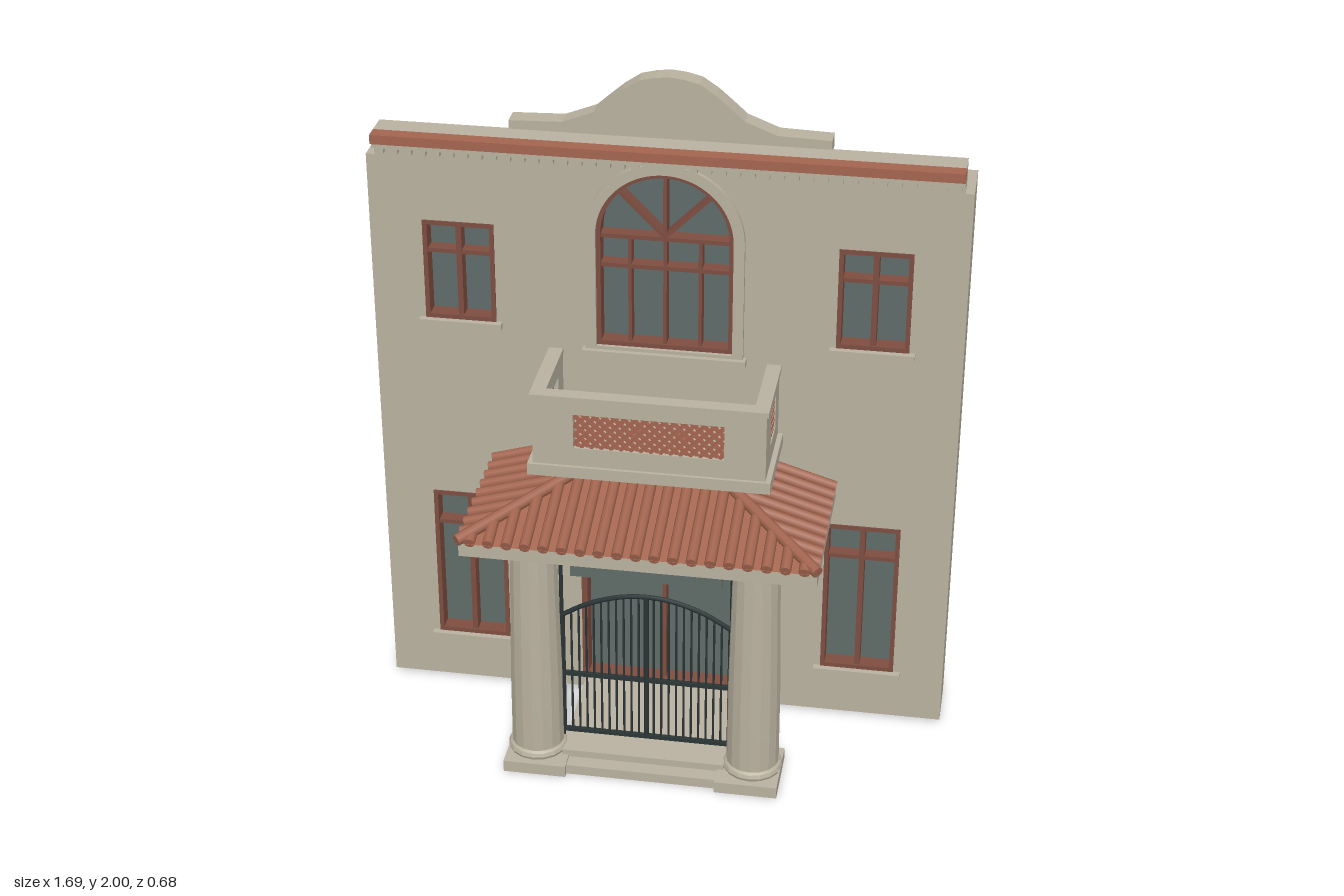
import * as THREE from 'three';
import { toCreasedNormals } from 'three/addons/utils/BufferGeometryUtils.js';

const paint = (name, color, extra = {}) => Object.assign(new THREE.MeshStandardMaterial({ color, ...extra }), { name });

export function createModel() {
  const stucco = paint('stucco', 0xb9b19f);
  const clay = paint('terracotta', 0xa3654f);
  const wood = paint('brown frame', 0x7d4d40);
  const glass = paint('glass', 0x5f6b68);
  const iron = paint('iron', 0x2b3536);

  const model = new THREE.Group();
  model.name = 'villaFacade';

  const group = (name, parent = model) => {
    const g = new THREE.Group();
    g.name = name;
    parent.add(g);
    return g;
  };
  const add = (name, geo, mat, parent = model) => {
    const m = new THREE.Mesh(geo, mat);
    m.name = name;
    parent.add(m);
    return m;
  };
  // Box given by its limits
  const box = (name, mat, x0, x1, y0, y1, z0, z1, parent = model) => {
    const m = add(name, new THREE.BoxGeometry(x1 - x0, y1 - y0, z1 - z0), mat, parent);
    m.position.set((x0 + x1) / 2, (y0 + y1) / 2, (z0 + z1) / 2);
    return m;
  };
  // Round bar between two points
  const rod = (name, mat, a, b, r, parent, sides = 6) => {
    const p = new THREE.Vector3(...a), q = new THREE.Vector3(...b);
    const m = add(name, new THREE.CylinderGeometry(r, r, p.distanceTo(q), sides), mat, parent);
    m.position.copy(p).lerp(q, 0.5);
    m.quaternion.setFromUnitVectors(new THREE.Vector3(0, 1, 0), q.sub(p).normalize());
    return m;
  };
  const poly = (pts, Type = THREE.Shape) => new Type(pts.map(p => new THREE.Vector2(...p)));
  const rect = (x0, x1, y0, y1, Type) => poly([[x0, y0], [x1, y0], [x1, y1], [x0, y1]], Type);
  const arch = (r, y0, yc, Type = THREE.Shape) => {
    const s = new Type();
    s.moveTo(-r, y0);
    s.lineTo(r, y0);
    s.lineTo(r, yc);
    s.absarc(0, yc, r, 0, Math.PI, false);
    s.lineTo(-r, y0);
    return s;
  };
  const extrude = (name, shape, mat, z0, z1, parent = model) => {
    const g = new THREE.ExtrudeGeometry(shape, { depth: z1 - z0, bevelEnabled: false, curveSegments: 20 });
    const m = add(name, g, mat, parent);
    m.position.z = z0;
    return m;
  };

  // Main wall with openings, side returns and curved parapet
  const windows = [];
  for (const s of [-1, 1]) {
    windows.push({ x: s * 0.587, w: 0.11, y0: 0.17, y1: 0.67, bar: 0.56, sill: 0.13 });
    windows.push({ x: s * 0.59, w: 0.103, y0: 1.25, y1: 1.555, bar: 1.46, sill: 0.12 });
  }
  const wall = poly([[-0.845, 0.01], [0.845, 0.01], [0.845, 1.745], [0.82, 1.745],
    [0.82, 1.82], [-0.82, 1.82], [-0.82, 1.745], [-0.845, 1.745]]);
  for (const w of windows) wall.holes.push(rect(w.x - w.w, w.x + w.w, w.y0, w.y1, THREE.Path));
  wall.holes.push(arch(0.195, 1.205, 1.55, THREE.Path), rect(-0.25, 0.25, 0.05, 0.73, THREE.Path));
  extrude('wall', wall, stucco, -0.24, -0.17);
  for (const s of [-1, 1]) {
    box('sideReturn', stucco, Math.min(s * 0.805, s * 0.845), Math.max(s * 0.805, s * 0.845), 0.01, 1.745, -0.335, -0.235);
  }
  const half = [[0.45, 1.845], [0.3, 1.85], [0.21, 1.885], [0.165, 1.925], [0.13, 1.955], [0.085, 1.985], [0.04, 1.996]];
  const mirrored = half.map(([x, y]) => [-x, y]).reverse();
  extrude('parapet', poly([[-0.45, 1.805], [0.45, 1.805], ...half, [0, 2], ...mirrored]), stucco, -0.295, -0.235);

  // Cornice with dentils
  const cornice = group('cornice');
  box('corniceTiles', clay, -0.82, 0.82, 1.793, 1.82, -0.17, -0.127, cornice);
  box('corniceLedge', stucco, -0.82, 0.82, 1.775, 1.793, -0.17, -0.142, cornice);
  for (let x = -0.8; x < 0.81; x += 0.04) box('dentil', stucco, x - 0.011, x + 0.011, 1.757, 1.775, -0.17, -0.15, cornice);

  // Rectangular windows
  for (const w of windows) {
    const g = group('window');
    const l = w.x - w.w, r = w.x + w.w, t = 0.013;
    box('pane', glass, l, r, w.y0, w.y1, -0.222, -0.214, g);
    const ring = rect(l, r, w.y0, w.y1);
    ring.holes.push(rect(l + t, r - t, w.y0 + t, w.y1 - t, THREE.Path));
    extrude('frame', ring, wood, -0.214, -0.166, g);
    box('mullion', wood, w.x - 0.008, w.x + 0.008, w.y0 + t, w.y1 - t, -0.214, -0.172, g);
    box('transom', wood, l + t, r - t, w.bar - 0.006, w.bar + 0.006, -0.214, -0.174, g);
    box('sill', stucco, w.x - w.sill, w.x + w.sill, w.y0 - 0.018, w.y0, -0.17, -0.148, g);
  }

  // Arched window
  const aw = group('archedWindow');
  extrude('pane', arch(0.195, 1.205, 1.55), glass, -0.222, -0.214, aw);
  const ring = arch(0.195, 1.205, 1.55);
  ring.holes.push(arch(0.182, 1.218, 1.55, THREE.Path));
  extrude('frame', ring, wood, -0.214, -0.166, aw);
  const surround = arch(0.226, 1.18, 1.55);
  surround.holes.push(arch(0.195, 1.205, 1.55, THREE.Path));
  extrude('surround', surround, stucco, -0.17, -0.155, aw);
  box('sill', stucco, -0.235, 0.235, 1.175, 1.195, -0.17, -0.14, aw);
  for (const y of [1.455, 1.545]) box('transom', wood, -0.185, 0.185, y - 0.006, y + 0.006, -0.214, -0.172, aw);
  for (const x of [-0.1, 0, 0.1]) box('mullion', wood, x - 0.005, x + 0.005, 1.215, 1.545, -0.214, -0.174, aw);
  for (const a of [0.25, 0.5, 0.75]) {
    const m = add('radialBar', new THREE.BoxGeometry(0.185, 0.011, 0.04), wood, aw);
    m.position.set(Math.cos(a * Math.PI) * 0.093, 1.55 + Math.sin(a * Math.PI) * 0.093, -0.194);
    m.rotation.z = a * Math.PI;
  }

  // Doorway
  const door = group('doorway');
  box('doorGlass', glass, -0.25, 0.25, 0.05, 0.73, -0.222, -0.214, door);
  box('backPanel', glass, -0.263, 0.263, 0.05, 0.73, -0.329, -0.321, door);
  const jamb = rect(-0.25, 0.25, 0.05, 0.73);
  jamb.holes.push(rect(-0.232, 0.232, 0.068, 0.712, THREE.Path));
  extrude('doorFrame', jamb, wood, -0.214, -0.16, door);
  box('doorTransom', wood, -0.232, 0.232, 0.5, 0.512, -0.214, -0.175, door);
  box('doorMullion', wood, -0.006, 0.006, 0.068, 0.712, -0.214, -0.175, door);

  // Porch floor, steps and columns
  const porch = group('porch');
  box('baseSlab', stucco, -0.24, 0.24, 0, 0.03, -0.2, 0.265, porch);
  box('floor', stucco, -0.24, 0.24, 0.03, 0.052, -0.17, 0.22, porch);
  const profile = [[0, 0.035], [0.084, 0.035], [0.088, 0.045], [0.084, 0.056], [0.077, 0.062], [0.076, 0.3],
    [0.068, 0.7], [0.067, 0.728], [0.075, 0.735], [0.077, 0.752], [0.077, 0.762], [0, 0.762]];
  const shaft = toCreasedNormals(new THREE.LatheGeometry(profile.map(p => new THREE.Vector2(...p)), 16), 0.3);
  for (const s of [-1, 1]) {
    box('plinth', stucco, s * 0.312 - 0.092, s * 0.312 + 0.092, 0, 0.036, 0.085, 0.283, porch);
    add('column', shaft, stucco, porch).position.set(s * 0.32, 0, 0.178);
  }
  box('beam', stucco, -0.503, 0.503, 0.76, 0.808, -0.17, 0.318, porch);

  // Hipped porch roof with tile ribs
  const roof = group('porchRoof');
  const e = 0.505, y0 = 0.808, zb = -0.17, zf = 0.33, top = 0.958;
  const L = [-e, y0, zf], R = [e, y0, zf], BR = [e, y0, zb], BL = [-e, y0, zb], A = [0, top, zb];
  const slopes = new THREE.BufferGeometry();
  slopes.setAttribute('position', new THREE.Float32BufferAttribute(
    [L, R, A, R, BR, A, BL, L, A, BL, BR, R, BL, R, L].flat(), 3));
  slopes.computeVertexNormals();
  add('roofSlopes', slopes, clay, roof);
  const rise = (top - y0) / 0.5;
  for (let i = -9; i <= 9; i++) {
    const x = i * 0.052;
    const z = Math.max(zb + Math.abs(x), 0.04);
    rod('frontTile', clay, [x, y0 + 0.004, zf], [x, y0 + 0.004 + rise * (zf - z), z], 0.016, roof, 8);
  }
  for (const s of [-1, 1]) {
    for (let z = zb + 0.025; z < zf - 0.03; z += 0.052) {
      const x = Math.max(z - zb, 0.2);
      rod('sideTile', clay, [s * e, y0 + 0.004, z], [s * x, y0 + 0.004 + rise * (e - x), z], 0.016, roof, 8);
    }
    rod('hipTile', clay, [s * e, y0 + 0.01, zf], [s * 0.05, top - 0.004, zb + 0.05], 0.017, roof, 8);
  }

  // Balcony with pierced parapet walls
  const balcony = group('balcony');
  box('balconySlab', stucco, -0.345, 0.345, 0.925, 0.96, -0.17, 0.12, balcony);
  const pierced = (name, w, h0, h1) => {
    const g = group(name, balcony);
    const s = rect(-w, w, 0.96, 1.165);
    s.holes.push(rect(h0, h1, 1.017, 1.123, THREE.Path));
    extrude('parapetWall', s, stucco, -0.034, 0, g);
    // Diagonal lattice, clipped to the opening
    for (const dir of [1, -1]) {
      for (let c = h0 - 0.106 + 0.014; c < h1; c += 0.028) {
        const a = Math.max(c, h0), b = Math.min(c + 0.106, h1);
        if (b - a < 0.006) continue;
        const y = x => (dir > 0 ? 1.017 + (x - c) : 1.123 - (x - c));
        const m = add('latticeBar', new THREE.BoxGeometry((b - a) * Math.SQRT2, 0.009, 0.012), clay, g);
        m.position.set((a + b) / 2, y((a + b) / 2), -0.012 + dir * 0.003);
        m.rotation.z = dir * Math.PI / 4;
      }
    }
    return g;
  };
  pierced('balconyFront', 0.33, -0.213, 0.213).position.z = 0.11;
  for (const s of [-1, 1]) {
    const g = pierced('balconySide', 0.123, -0.053, 0.053);
    g.position.set(s * 0.33, 0, -0.047);
    g.rotation.y = s * Math.PI / 2;
    box('sideCap', stucco, s * 0.315 - 0.021, s * 0.315 + 0.021, 1.165, 1.18, -0.17, 0.075, balcony);
  }
  box('frontCap', stucco, -0.336, 0.336, 1.165, 1.18, 0.073, 0.116, balcony);

  // Iron gate with arched top rail
  const gate = group('gate');
  const zg = 0.15;
  const crown = x => 0.48 + 0.088 * (1 - (x / 0.25) ** 2);
  for (let i = -11; i <= 11; i++) {
    const x = i * 0.022;
    rod('gateBar', iron, [x, 0.075, zg], [x, crown(x), zg], i ? 0.0035 : 0.008, gate);
  }
  for (const y of [0.08, 0.28]) box('gateRail', iron, -0.25, 0.25, y - 0.006, y + 0.006, zg - 0.006, zg + 0.006, gate);
  const curve = new THREE.CatmullRomCurve3([-0.25, -0.17, -0.08, 0, 0.08, 0.17, 0.25].map(x => new THREE.Vector3(x, crown(x), zg)));
  add('gateTopRail', new THREE.TubeGeometry(curve, 24, 0.007, 6), iron, gate);
  for (const s of [-1, 1]) rod('gatePost', iron, [s * 0.248, 0.052, zg], [s * 0.248, 0.72, zg], 0.006, gate);

  // Blank hanging panel under the beam
  const panel = group('hangingPanel');
  box('panel', glass, -0.22, 0.22, 0.62, 0.72, zg - 0.004, zg + 0.004, panel);
  for (const s of [-1, 1]) rod('hanger', iron, [s * 0.19, 0.715, zg], [s * 0.19, 0.762, zg], 0.003, panel);

  return model;
}
